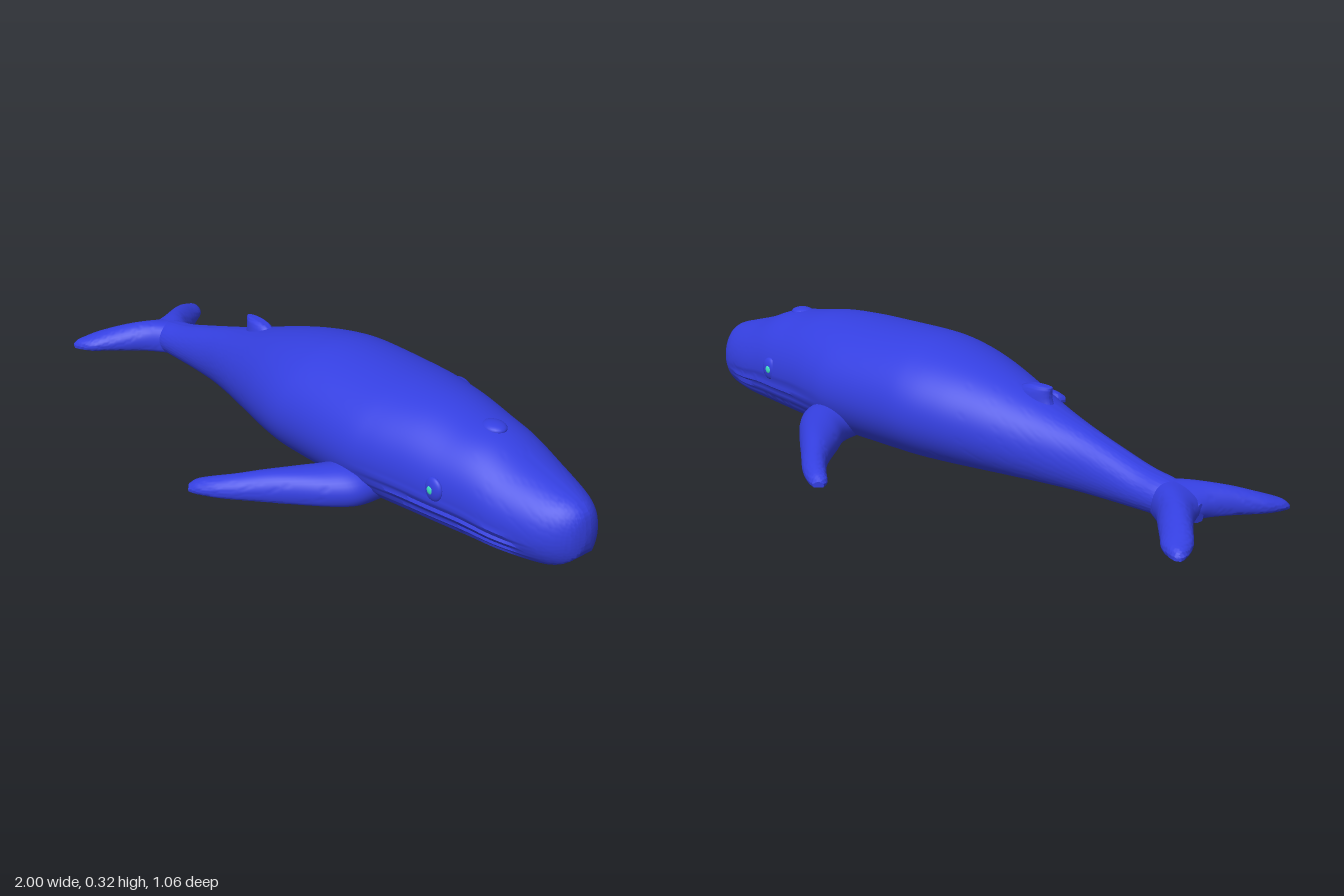
import * as THREE from 'three';
import { toCreasedNormals } from 'three/addons/utils/BufferGeometryUtils.js';

const skin = new THREE.MeshStandardMaterial({ color: 0x343fe0 });
const eyeMat = new THREE.MeshStandardMaterial({ color: 0x3fe0c8 });

// Skin a list of closed rings (arrays of Vector3) and cap both ends.
function loft(rings) {
  const n = rings[0].length, pos = [], tris = [];
  const add = (p) => pos.push(p.x, p.y, p.z) / 3 - 1;
  rings.forEach((r) => r.forEach(add));
  for (let i = 0; i < rings.length - 1; i++) {
    for (let j = 0; j < n; j++) {
      const a = i * n + j, b = i * n + (j + 1) % n;
      tris.push([a, b, a + n], [b, b + n, a + n]);
    }
  }
  for (const i of [0, rings.length - 1]) {
    const c = new THREE.Vector3();
    rings[i].forEach((p) => c.addScaledVector(p, 1 / n));
    const k = add(c);
    for (let j = 0; j < n; j++) {
      const a = i * n + j, b = i * n + (j + 1) % n;
      tris.push(i ? [k, a, b] : [k, b, a]);
    }
  }
  // Turn the faces outward by the sign of the enclosed volume.
  const v = (i) => new THREE.Vector3().fromArray(pos, i * 3);
  let volume = 0;
  for (const [a, b, c] of tris) volume += v(a).dot(v(b).cross(v(c)));
  const index = tris.flatMap(([a, b, c]) => (volume < 0 ? [a, c, b] : [a, b, c]));
  const g = new THREE.BufferGeometry();
  g.setAttribute('position', new THREE.Float32BufferAttribute(pos, 3));
  g.setIndex(index);
  return toCreasedNormals(g, 0.8);
}

// Smooth sampling of station rows of any length.
function sample(rows, count) {
  const cols = rows[0].map((_, c) => new THREE.SplineCurve(rows.map((r, i) => new THREE.Vector2(i, r[c]))));
  return Array.from({ length: count + 1 }, (_, i) => cols.map((s) => s.getPoint(i / count).y));
}

const angles = (n) => Array.from({ length: n }, (_, i) => (i / n) * Math.PI * 2);

// Body: [x, top, bottom, half width]
const bodyRows = [
  [-0.88, 0.05, 0, 0.015], [-0.84, 0.075, 0, 0.045], [-0.78, 0.092, 0, 0.058],
  [-0.7, 0.106, 0, 0.062], [-0.6, 0.135, 0, 0.068], [-0.5, 0.165, 0, 0.08],
  [-0.4, 0.195, 0, 0.105], [-0.3, 0.228, 0, 0.137], [-0.2, 0.262, 0, 0.17],
  [-0.1, 0.29, 0, 0.202], [0, 0.31, 0, 0.225], [0.1, 0.32, 0, 0.231],
  [0.3, 0.316, 0, 0.234], [0.4, 0.314, 0, 0.222], [0.5, 0.307, 0, 0.203],
  [0.6, 0.289, 0, 0.185], [0.7, 0.271, 0, 0.165], [0.8, 0.232, 0, 0.146],
  [0.9, 0.201, 0.004, 0.115], [0.95, 0.185, 0.012, 0.088], [0.98, 0.167, 0.028, 0.06],
  [0.993, 0.148, 0.045, 0.037], [1, 0.115, 0.075, 0.012],
];

function bodyGeometry() {
  return loft(sample(bodyRows, 132).map(([x, top, bottom, w]) => {
    const mid = bottom + (top - bottom) * 0.41;
    // Throat pleats fade in below the jaw.
    const pleat = 0.004 * THREE.MathUtils.smoothstep(x, 0.3, 0.5) * (1 - THREE.MathUtils.smoothstep(x, 0.82, 0.93));
    return angles(96).map((t) => {
      const s = Math.sin(t);
      const low = s < -0.1 ? pleat * Math.sin(t * 32) : 0;
      const y = mid + s * (s > 0 ? top - mid : (mid - bottom) * 1.35);
      return new THREE.Vector3(x, Math.max(bottom, y), (w + low) * Math.cos(t));
    });
  }));
}

// Flat-bottomed limb: [front x, front z, back x, back z, height]
function limbGeometry(rows, side) {
  return loft(sample(rows, 40).map(([ax, az, bx, bz, h]) => angles(36).map((t) => {
    const k = (1 - Math.cos(t)) / 2;
    return new THREE.Vector3(
      ax + (bx - ax) * k,
      Math.max(0, h * (0.35 + 0.65 * Math.sin(t))),
      side * (az + (bz - az) * k));
  })));
}

const flipperRows = [
  [0.41, 0.13, 0.24, 0.13, 0.1], [0.405, 0.22, 0.225, 0.22, 0.097],
  [0.365, 0.28, 0.18, 0.29, 0.09], [0.28, 0.355, 0.125, 0.375, 0.079],
  [0.2, 0.42, 0.085, 0.425, 0.064], [0.12, 0.485, 0.035, 0.47, 0.047],
  [0.06, 0.52, 0.01, 0.49, 0.032], [0.025, 0.53, 0.003, 0.51, 0.016],
];

const flukeRows = [
  [-0.68, 0, -0.88, 0, 0.09], [-0.745, 0.045, -0.893, 0.04, 0.088],
  [-0.8, 0.085, -0.92, 0.085, 0.08], [-0.845, 0.135, -0.95, 0.125, 0.067],
  [-0.885, 0.18, -0.98, 0.165, 0.051], [-0.92, 0.22, -0.995, 0.2, 0.036],
  [-0.955, 0.24, -1, 0.225, 0.025], [-0.98, 0.247, -0.998, 0.24, 0.012],
];

// Dorsal fin: [y, front x, back x, half thickness]
const finRows = [
  [0.15, -0.18, -0.41, 0.035], [0.205, -0.23, -0.375, 0.03],
  [0.235, -0.26, -0.37, 0.024], [0.249, -0.29, -0.373, 0.016], [0.253, -0.32, -0.368, 0.006],
];

function finGeometry() {
  return loft(sample(finRows, 16).map(([y, f, b, w]) => angles(24).map((t) =>
    new THREE.Vector3((f + b) / 2 + ((f - b) / 2) * Math.cos(t), y, w * Math.sin(t)))));
}

export function createModel() {
  const whale = new THREE.Group();
  whale.name = 'whale';
  const add = (name, geometry, material = skin) => {
    const mesh = new THREE.Mesh(geometry, material);
    mesh.name = name;
    whale.add(mesh);
    return mesh;
  };
  const blob = (name, position, scale, material) => {
    const mesh = add(name, new THREE.SphereGeometry(1, 24, 16), material);
    mesh.position.set(...position);
    mesh.scale.set(...scale);
  };

  add('body', bodyGeometry());
  add('dorsalFin', finGeometry());
  blob('blowhole', [0.66, 0.273, 0], [0.04, 0.016, 0.032]);

  // Paired parts
  for (const side of [1, -1]) {
    add('flipper', limbGeometry(flipperRows, side));
    add('tailFluke', limbGeometry(flukeRows, side));
    blob('eyeSocket', [0.62, 0.133, side * 0.174], [0.032, 0.035, 0.014]);
    blob('eye', [0.618, 0.133, side * 0.182], [0.013, 0.015, 0.008], eyeMat);
  }
  return whale;
}
